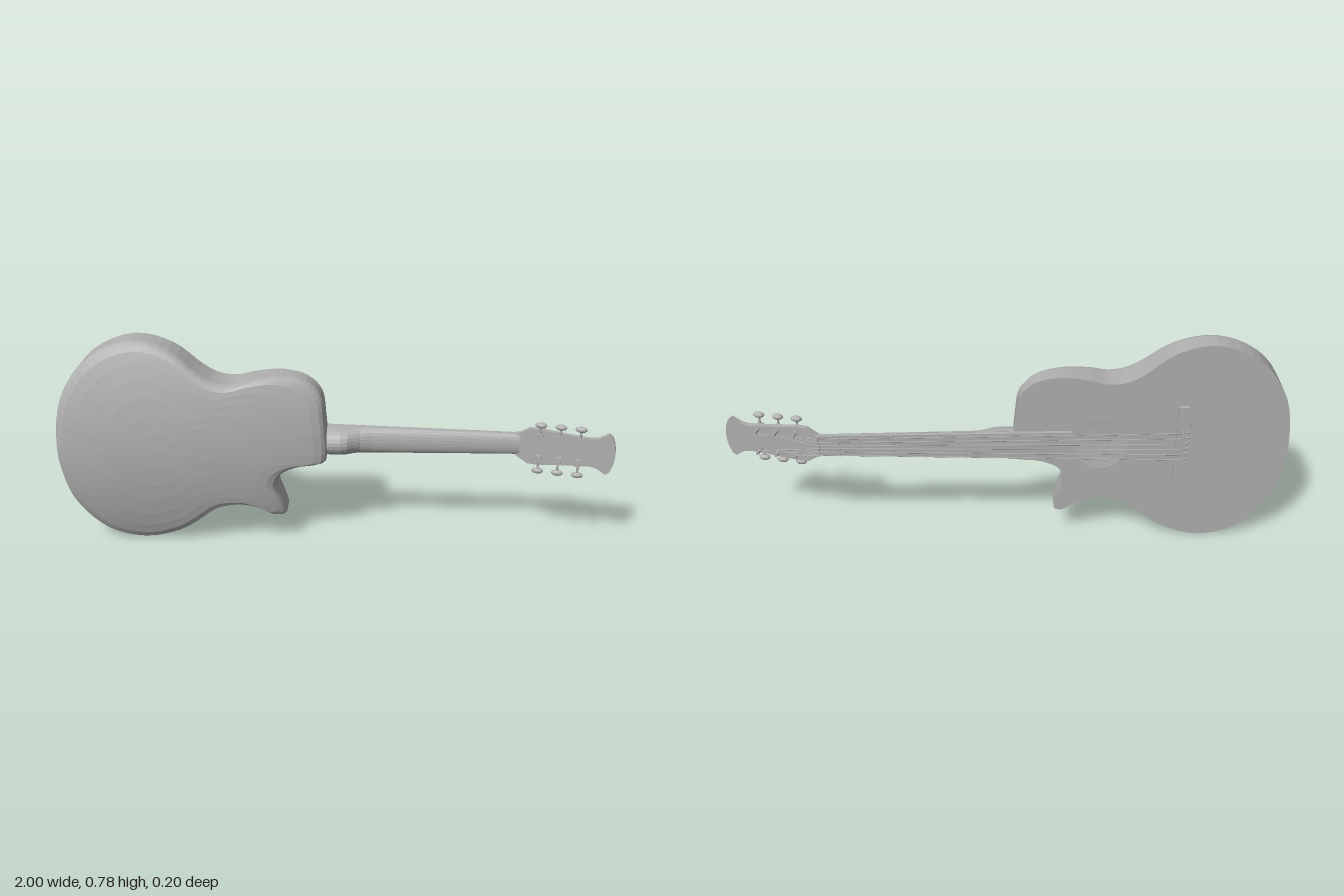
import * as THREE from 'three';

const grey = new THREE.MeshStandardMaterial({ color: 0xb0b0b0, side: THREE.DoubleSide });
grey.name = 'plain grey';

const MID = 0.397;      // string axis height
const TOP = -0.077;     // soundboard plane
const NUT = 0.655, SADDLE = -0.62;

function add(parent, name, geometry, x = 0, y = 0, z = 0) {
  const mesh = new THREE.Mesh(geometry, grey);
  mesh.name = name;
  mesh.position.set(x, y, z);
  parent.add(mesh);
  return mesh;
}

// Skin between closed rings of equal length, with faceted normals
function loft(rings) {
  const n = rings[0].length, index = [];
  for (let i = 0; i < rings.length - 1; i++) {
    for (let j = 0; j < n; j++) {
      const a = i * n + j, b = i * n + (j + 1) % n;
      index.push(a, a + n, b, b, a + n, b + n);
    }
  }
  const g = new THREE.BufferGeometry().setFromPoints(rings.flat());
  g.setIndex(index);
  const flat = g.toNonIndexed();
  flat.computeVertexNormals();
  return flat;
}

// Plate cut from points and given a depth towards +z
function plate(points, depth) {
  const shape = new THREE.Shape(points.map(([x, y]) => new THREE.Vector2(x, y)));
  return new THREE.ExtrudeGeometry(shape, { depth, bevelEnabled: false });
}

// Body outline with a cutaway on the lower side
const outline = new THREE.CatmullRomCurve3([
  [-1, 0.4], [-0.97, 0.58], [-0.87, 0.72], [-0.715, 0.785], [-0.58, 0.755], [-0.475, 0.675],
  [-0.42, 0.645], [-0.355, 0.637], [-0.285, 0.653], [-0.185, 0.663], [-0.1, 0.642], [-0.05, 0.59],
  [-0.035, 0.5], [-0.03, 0.345], [-0.04, 0.335], [-0.125, 0.325], [-0.19, 0.295], [-0.21, 0.245],
  [-0.187, 0.17], [-0.178, 0.12], [-0.205, 0.113], [-0.26, 0.145], [-0.31, 0.163], [-0.375, 0.165],
  [-0.43, 0.15], [-0.5, 0.095], [-0.58, 0.04], [-0.715, 0.003], [-0.85, 0.04], [-0.955, 0.165], [-0.99, 0.285],
].map(([x, y]) => new THREE.Vector3(x, y, 0)), true).getPoints(124).slice(0, -1);

// Height of the arched back
function backHeight(x, y) {
  const d = x + 0.75;
  return 0.1 - (d < 0 ? 0.3 : 0.145) * d * d - 0.5 * (y - 0.4) ** 2;
}

function buildBody(group) {
  // Sides and arched back: rings shrinking towards the middle, [scale, drop]
  const rings = [outline.map(p => new THREE.Vector3(p.x, p.y, TOP))];
  for (const [s, drop] of [[1, 0.027], [0.99, 0.014], [0.97, 0.006], [0.92, 0.001],
    [0.82, 0], [0.68, 0], [0.52, 0], [0.35, 0], [0.18, 0], [0.001, 0]]) {
    rings.push(outline.map(p => {
      const x = -0.6 + (p.x + 0.6) * s, y = 0.4 + (p.y - 0.4) * s;
      return new THREE.Vector3(x, y, backHeight(x, y) - drop);
    }));
  }
  add(group, 'sidesAndBack', loft(rings));

  // Soundboard with its round hole
  const face = new THREE.Shape(outline.map(p => new THREE.Vector2(p.x, p.y)));
  face.holes.push(new THREE.Path().absarc(-0.335, MID, 0.1, 0, Math.PI * 2));
  add(group, 'soundboard', new THREE.ExtrudeGeometry(face,
    { depth: 0.004, bevelEnabled: false, curveSegments: 24 }), 0, 0, TOP);

  // Thin ring around the hole
  const ring = new THREE.RingGeometry(0.138, 0.146, 48);
  ring.rotateY(Math.PI);
  add(group, 'rosette', ring, -0.335, MID, TOP - 0.001);

  // Bridge with a wider middle
  const half = [[-0.6, 0.155], [-0.635, 0.155], [-0.638, 0.1], [-0.655, 0.07], [-0.658, 0.03]];
  const pts = [...half, ...half.slice().reverse().map(([x, y]) => [x, -y])];
  add(group, 'bridge', plate(pts, 0.011), 0, MID, TOP - 0.011);
  add(group, 'saddle', new THREE.BoxGeometry(0.007, 0.13, 0.008), SADDLE, MID, -0.091);
}

function buildNeck(group) {
  // Rounded neck flowing into the heel: [x, half width, back z]
  const stations = [[-0.05, 0.052, 0], [0.02, 0.052, 0.001], [0.045, 0.051, -0.006], [0.065, 0.05, -0.022],
    [0.09, 0.05, -0.037], [0.13, 0.05, -0.046], [0.2, 0.049, -0.05], [0.62, 0.04, -0.06], [0.665, 0.04, -0.06]];
  const rings = stations.map(([x, w, back]) => {
    const ring = [];
    for (let i = 0; i <= 12; i++) {
      const a = -Math.PI / 2 + Math.PI * i / 12;
      ring.push(new THREE.Vector3(x, MID + w * Math.sin(a), TOP + (back - TOP) * Math.cos(a) ** 0.8));
    }
    return ring;
  });
  // Closed end under the nut
  rings.push(rings.at(-1).map(() => new THREE.Vector3(0.665, MID, TOP)));
  add(group, 'neck', loft(rings));

  // Fingerboard, nut and frets
  const board = [[-0.232, -0.055], [NUT, -0.04], [NUT, 0.04], [-0.232, 0.055]];
  add(group, 'fingerboard', plate(board, 0.013), 0, MID, TOP - 0.013);
  add(group, 'nut', new THREE.BoxGeometry(0.01, 0.08, 0.022), NUT + 0.004, MID, -0.086);
  for (let n = 1; n <= 20; n++) {
    const x = NUT - (NUT - SADDLE) * (1 - 2 ** (-n / 12));
    const width = 0.08 + 0.03 * (NUT - x) / 0.887;
    add(group, 'fret', new THREE.BoxGeometry(0.004, width, 0.004), x, MID, -0.091);
  }
}

function buildHeadstock(group) {
  const head = new THREE.Group();
  head.name = 'headstock';
  head.position.set(NUT, MID - 0.002, -0.088);
  head.rotation.y = -0.2;
  group.add(head);

  // Flared plate
  const edge = [[0, 0.04], [0.02, 0.052], [0.045, 0.068], [0.075, 0.07], [0.15, 0.062], [0.22, 0.056],
    [0.265, 0.053], [0.29, 0.058], [0.31, 0.07], [0.322, 0.078], [0.335, 0.068], [0.346, 0.04], [0.35, 0.015]];
  add(head, 'headPlate', plate([...edge, ...edge.slice().reverse().map(([x, y]) => [x, -y])], 0.018));

  // Three tuners on each side
  for (const side of [-1, 1]) {
    for (let k = 0; k < 3; k++) {
      const x = 0.085 + 0.07 * k, y = side * 0.042;
      const post = add(head, 'tunerPost', new THREE.CylinderGeometry(0.005, 0.006, 0.03, 10), x, y, -0.014);
      post.rotation.x = Math.PI / 2;
      const washer = add(head, 'tunerWasher', new THREE.CylinderGeometry(0.01, 0.01, 0.004, 12), x, y, -0.002);
      washer.rotation.x = Math.PI / 2;
      add(head, 'tunerHousing', new THREE.BoxGeometry(0.02, 0.026, 0.014), x, y, 0.024);
      add(head, 'tunerShaft', new THREE.CylinderGeometry(0.004, 0.004, 0.045, 8), x, side * 0.066, 0.024);
      const button = add(head, 'tunerButton', new THREE.SphereGeometry(1, 12, 8), x, side * 0.089, 0.024);
      button.scale.set(0.021, 0.011, 0.012);
    }
  }
  head.updateMatrix();
  return head;
}

// Six strings from bridge to nut and on to the posts
function buildStrings(group, head) {
  for (const side of [-1, 1]) {
    for (let k = 0; k < 3; k++) {
      const f = side * (1 - k * 0.4);
      const path = new THREE.CurvePath();
      const points = [
        new THREE.Vector3(-0.638, MID + f * 0.055, -0.087),
        new THREE.Vector3(SADDLE, MID + f * 0.055, -0.096),
        new THREE.Vector3(NUT + 0.004, MID + f * 0.033, -0.098),
        new THREE.Vector3(0.085 + 0.07 * k, side * 0.037, -0.018).applyMatrix4(head.matrix),
      ];
      for (let i = 0; i < 3; i++) path.add(new THREE.LineCurve3(points[i], points[i + 1]));
      path.curves.forEach(c => add(group, 'string', new THREE.TubeGeometry(c, 1, 0.0018, 6)));
      const pin = add(group, 'bridgePin', new THREE.SphereGeometry(0.005, 8, 6), -0.64, MID + f * 0.055, -0.088);
      pin.scale.z = 0.7;
    }
  }
}

export function createModel() {
  const guitar = new THREE.Group();
  guitar.name = 'guitar';
  buildBody(guitar);
  buildNeck(guitar);
  buildStrings(guitar, buildHeadstock(guitar));
  return guitar;
}
